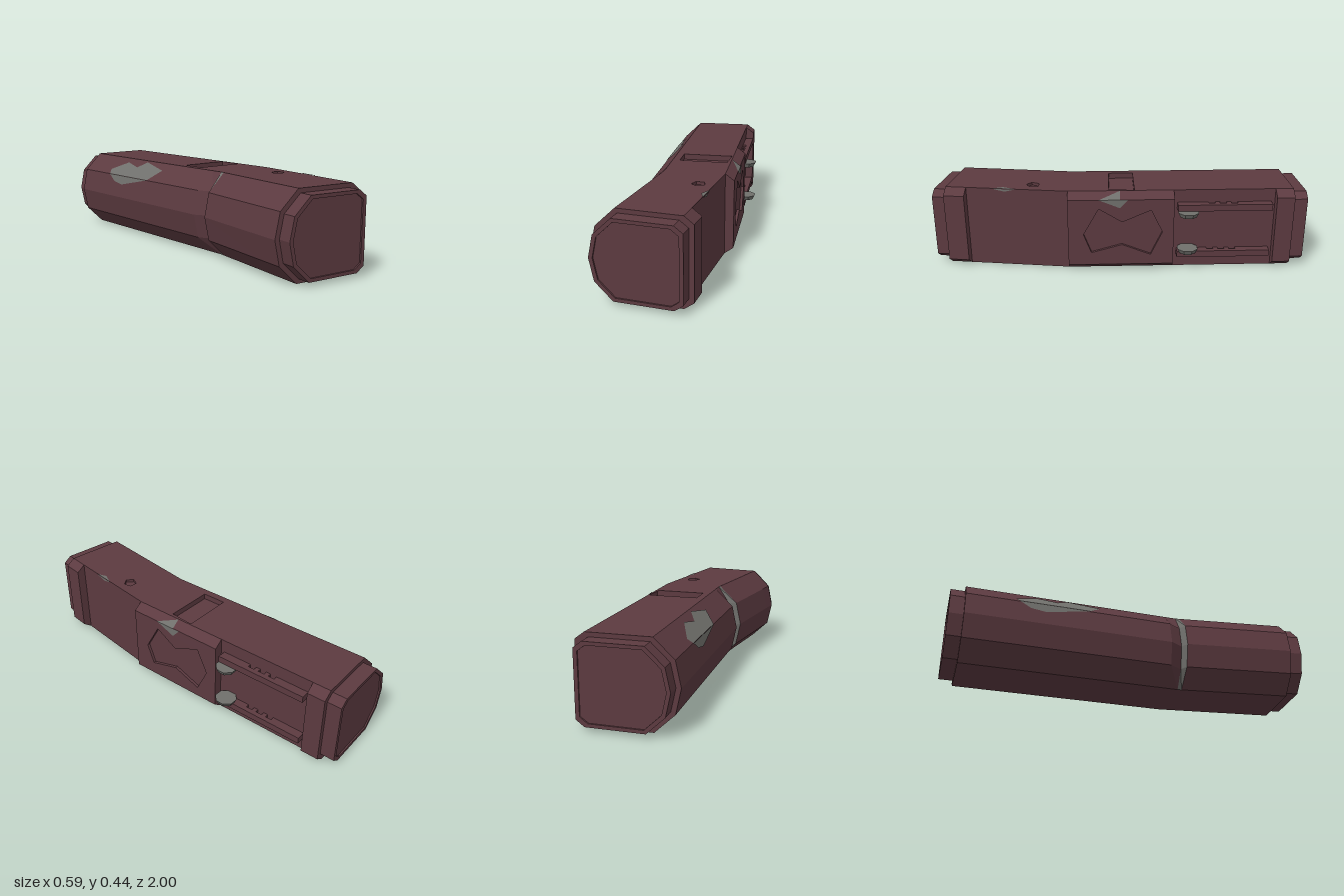
import * as THREE from 'three';

const H = 0.44, BEND = 0.27;
const shellMat = new THREE.MeshStandardMaterial({ color: 0x5c3a40, flatShading: true, side: THREE.DoubleSide });
const metalMat = new THREE.MeshStandardMaterial({ color: 0x70706c, flatShading: true, side: THREE.DoubleSide });

// Bent-axis frame: u across, y up, t along; each arm leans its own way from the bend
function P(u, y, t) {
  const d = t - BEND, slope = d < 0 ? 0.04 : -0.11;
  const lean = Math.min(1, Math.abs(d) / 0.5);
  return [u + slope * d, y, t - slope * u * lean];
}

// Cross-section, counter-clockwise from the top left edge
const FULL = [[-0.1, H], [-0.2, 0.345], [-0.227, 0.22], [-0.2, 0.095], [-0.1, 0],
  [0.22, 0], [0.267, 0.035], [0.267, 0.405], [0.22, H]];
const RECESS = FULL.map(([u, y], i) => (i === 6 ? [0.22, 0.01] : i === 7 ? [0.22, 0.43] : [u, y]));
const NOTCH = FULL.map(([u, y], i) => (i > 0 && i < 4 ? [u + 0.037, y] : [u, y]));
const NOTCH_RECESS = RECESS.map((p, i) => (i < 5 ? NOTCH[i] : p));
const inset = (s) => FULL.map(([u, y]) => [0.02 + (u - 0.02) * s, 0.22 + (y - 0.22) * s]);

function meshFrom(name, pos, mat) {
  const g = new THREE.BufferGeometry();
  g.setAttribute('position', new THREE.Float32BufferAttribute(pos, 3));
  g.computeVertexNormals();
  const m = new THREE.Mesh(g, mat);
  m.name = name;
  return m;
}
const quad = (pos, a, b, c, d) => pos.push(...a, ...b, ...c, ...a, ...c, ...d);

// Skin between two sections, leaving out listed sides
function skin(pos, [ta, sa], [tb, sb], sides) {
  for (const k of sides) {
    const n = (k + 1) % sa.length;
    quad(pos, P(...sa[k], ta), P(...sa[n], ta), P(...sb[n], tb), P(...sb[k], tb));
  }
}

// Flat panel with sunken pockets; map(a, b, depth) gives a point in space
function panel(name, outline, pockets, map) {
  const ccw = (pts) => {
    const v = pts.map((p) => new THREE.Vector2(...p));
    return THREE.ShapeUtils.isClockWise(v) ? v.reverse() : v;
  };
  const pos = [], outer = ccw(outline), holes = pockets.map((p) => ccw(p.pts));
  const fill = (contour, inner, depth) => {
    const all = [contour, ...inner].flat();
    for (const tri of THREE.ShapeUtils.triangulateShape(contour, inner))
      for (const i of tri) pos.push(...map(all[i].x, all[i].y, depth));
  };
  fill(outer, holes.map((h) => [...h].reverse()), 0);
  holes.forEach((h, j) => {
    const d = pockets[j].depth;
    h.forEach((p, i) => {
      const q = h[(i + 1) % h.length];
      quad(pos, map(p.x, p.y, 0), map(q.x, q.y, 0), map(q.x, q.y, d), map(p.x, p.y, d));
    });
    fill(h, [], d);
  });
  return meshFrom(name, pos, shellMat);
}

// Thin worn patches given as triangles of [u, y, t]
const patch = (name, pts) => meshFrom(name, pts.flatMap((p) => P(...p)), metalMat);

// Rail with a toothed inner edge, standing off the recess floor
function rail(y0) {
  const s = new THREE.Shape();
  s.moveTo(-0.8, 0.267);
  s.lineTo(-0.8, 0.22);
  for (const t of [-0.62, -0.56, -0.5]) {
    s.lineTo(t, 0.22);
    s.lineTo(t, 0.24);
    s.lineTo(t + 0.035, 0.24);
    s.lineTo(t + 0.035, 0.22);
  }
  s.lineTo(-0.3, 0.22);
  s.lineTo(-0.3, 0.267);
  const g = new THREE.ExtrudeGeometry(s, { depth: 0.035, bevelEnabled: false });
  const a = g.attributes.position;
  for (let i = 0; i < a.count; i++) a.setXYZ(i, ...P(a.getY(i), y0 + a.getZ(i), a.getX(i)));
  g.computeVertexNormals();
  const m = new THREE.Mesh(g, shellMat);
  m.name = 'sideRail';
  return m;
}

export function createModel() {
  const root = new THREE.Group();
  root.name = 'bentCasing';

  // Main shell with end collars, raised middle block and two side recesses
  const stations = [[-0.915, FULL], [-0.82, FULL], [-0.82, RECESS], [-0.28, RECESS], [-0.28, FULL],
    [0.2, FULL], [0.27, NOTCH], [0.27, NOTCH_RECESS], [0.292, RECESS], [0.79, RECESS], [0.79, FULL], [0.9, FULL]];
  const shell = [], seam = [];
  for (let i = 0; i + 1 < stations.length; i++) {
    const a = stations[i], b = stations[i + 1];
    const middle = a[0] >= -0.28 && b[0] <= BEND && a[0] < b[0];
    const isSeam = a[1] === NOTCH_RECESS;
    for (let k = 0; k < 8; k++) {
      if (middle && k === 6) continue;
      skin(isSeam && k < 4 ? seam : shell, a, b, [k]);
    }
  }
  root.add(meshFrom('shell', shell, shellMat), meshFrom('bendSeam', seam, metalMat));

  // Top face with a long slot and a small five-sided pocket
  const ts = [...new Set(stations.map((s) => s[0]))];
  const pentagon = [0, 1, 2, 3, 4].map((i) => {
    const a = (i / 5) * Math.PI * 2;
    return [0.455 + 0.036 * Math.cos(a), 0.14 + 0.036 * Math.sin(a)];
  });
  root.add(panel('topFace', [...ts.map((t) => [t, -0.1]), ...[...ts].reverse().map((t) => [t, 0.22])], [
    { pts: [[-0.075, -0.06], [0.058, -0.06], [0.058, 0.212], [-0.075, 0.212]], depth: 0.03 },
    { pts: pentagon, depth: 0.015 },
  ], (t, u, d) => P(u, H - d, t)));

  // Engraved face of the middle block
  const emblem = [[0.21, 0.19], [0.355, 0.11], [0.28, -0.01], [0.345, -0.16],
    [0.22, -0.22], [0.09, -0.16], [0.15, -0.01], [0.105, 0.15]];
  root.add(panel('engravedFace',
    [[0.035, -0.28], [0.405, -0.28], [0.405, 0.2], [0.405, BEND], [0.035, BEND], [0.035, 0.2]],
    [{ pts: emblem, depth: 0.015 }], (y, t, d) => P(0.267 - d, y, t)));

  // End caps: collar face, inset plug and a shallow sunken panel
  const plug = inset(0.9), face = inset(0.82), all = [0, 1, 2, 3, 4, 5, 6, 7, 8];
  const front = [], back = [];
  skin(front, [0.9, FULL], [0.9, plug], all);
  skin(front, [0.9, plug], [0.972, plug], all);
  skin(back, [-0.915, plug], [-0.915, FULL], all);
  skin(back, [-0.99, plug], [-0.915, plug], all);
  root.add(meshFrom('frontCapRim', front, shellMat), meshFrom('backCapRim', back, shellMat));
  root.add(panel('frontCap', plug, [{ pts: face, depth: 0.008 }], (u, y, d) => P(u, y, 0.972 - d)));
  const swap = (pts) => pts.map(([u, y]) => [y, u]);
  root.add(panel('backCap', swap(plug), [{ pts: swap(face), depth: 0.008 }], (y, u, d) => P(u, y, -0.99 + d)));

  // Rails and eight-sided knobs, mirrored about mid height
  for (const side of [1, -1]) {
    root.add(rail(0.22 + side * 0.1325 - 0.0175));
    const g = new THREE.CylinderGeometry(0.058, 0.045, 0.025, 8);
    g.rotateY(Math.PI / 8);
    const knob = new THREE.Mesh(g, metalMat);
    knob.name = 'knob';
    knob.position.set(0.245, 0.22 + side * 0.103, -0.365);
    root.add(knob);
  }

  // Worn patch over the two upper facets of the curved side
  const up = (f, t) => [-0.102 - 0.1 * f, 0.442 - 0.095 * f, t];
  const low = (f, t) => [-0.203 - 0.027 * f, 0.346 - 0.125 * f, t];
  const fan = (pts) => pts.slice(2).flatMap((p, i) => [pts[0], pts[i + 1], p]);
  root.add(patch('wornPatch', [
    ...fan([up(1, -0.42), up(1, -0.64), up(0.75, -0.66), up(0.25, -0.54), up(0.45, -0.43)]),
    ...fan([up(1, -0.42), up(0.45, -0.43), up(0.1, -0.37), up(0.4, -0.19), up(1, -0.26)]),
    ...fan([low(0, -0.26), low(0, -0.64), low(0.3, -0.58), low(0.4, -0.5)]),
  ]));

  // Chips on the side edges
  root.add(patch('edgeChip', [
    [0.27, 0.406, 0.11], [0.27, 0.36, 0], [0.27, 0.406, 0],
    [0.27, 0.406, 0.11], [0.27, 0.406, 0], [0.225, 0.441, 0],
    [0.27, 0.406, 0], [0.27, 0.36, 0], [0.27, 0.406, -0.04],
  ]));
  root.add(patch('smallChip', [[0.223, 0.438, 0.54], [0.223, 0.438, 0.65], [0.223, 0.425, 0.59],
    [0.223, 0.442, 0.54], [0.2, 0.442, 0.6], [0.223, 0.442, 0.65]]));
  return root;
}
